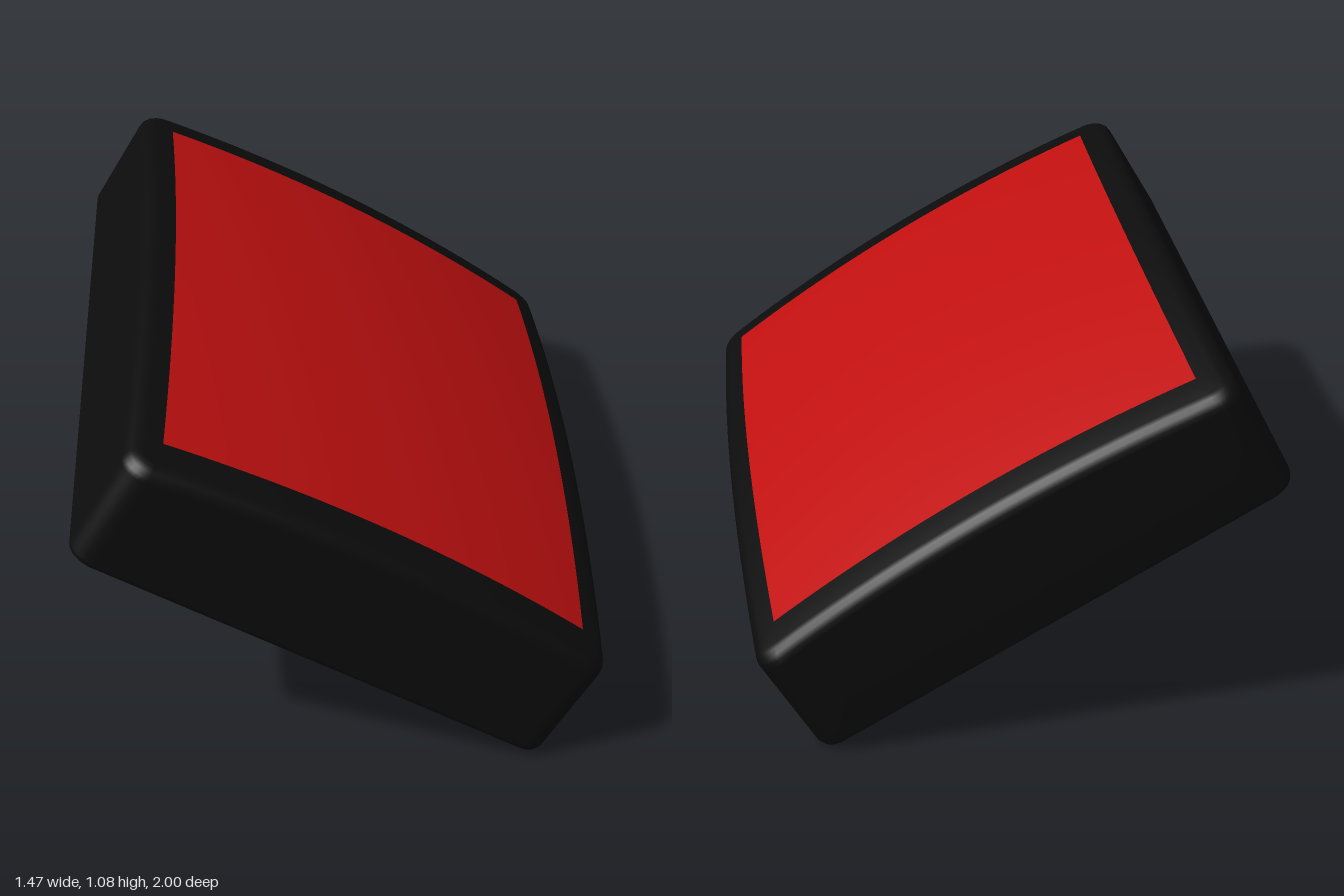
import * as THREE from 'three';

const HALF_W = 0.745, HALF_D = 0.993, CORNER = 0.075;
const EDGE_H = 0.405, CROWN = 0.052;

// Height of the crowned top face at a local point
const crown = (x, z) =>
  EDGE_H + CROWN * (1 - (x / HALF_W) ** 2) - 0.055 * (z / HALF_D) ** 2;

// Rounded rectangle outline, inset from the full footprint
function outline(inset) {
  const points = [];
  const r = CORNER - inset, cx = HALF_W - CORNER, cz = HALF_D - CORNER;
  const signs = [[1, 1], [-1, 1], [-1, -1], [1, -1]];
  signs.forEach(([sx, sz], k) => {
    for (let i = 0; i <= 8; i++) {
      const a = (k + i / 8) * Math.PI / 2;
      points.push([sx * cx + r * Math.cos(a), sz * cz + r * Math.sin(a)]);
    }
    // Straight side, subdivided so that its top edge can follow the crown
    const [ex, ez] = points[points.length - 1];
    const [nx, nz] = signs[(k + 1) % 4];
    const a = (k + 1) * Math.PI / 2;
    const tx = nx * cx + r * Math.cos(a), tz = nz * cz + r * Math.sin(a);
    for (let i = 1; i < 20; i++) {
      points.push([ex + (tx - ex) * i / 20, ez + (tz - ez) * i / 20]);
    }
  });
  return points;
}

// Stack of rings: flat base, softened edges, walls and crowned top
function bodyGeometry() {
  const rings = [];
  const addRing = (inset, scale, height) => rings.push(
    outline(inset).map(([x, z]) => [x * scale, height(x * scale, z * scale), z * scale]));

  addRing(0.025, 0, () => 0);
  addRing(0.025, 1, () => 0);
  addRing(0.007, 1, () => 0.007);
  addRing(0, 1, () => 0.025);
  for (let i = 0; i <= 4; i++) {
    const a = i / 4 * Math.PI / 2, r = 0.04;
    addRing(r * (1 - Math.cos(a)), 1, (x, z) => crown(x, z) - r * (1 - Math.sin(a)));
  }
  for (let i = 15; i >= 0; i--) addRing(0.04, i / 16, crown);

  const n = rings[0].length, index = [];
  for (let j = 0; j < rings.length - 1; j++) {
    for (let i = 0; i < n; i++) {
      const a = j * n + i, b = j * n + (i + 1) % n;
      index.push(a, a + n, b, b, a + n, b + n);
    }
  }
  const geometry = new THREE.BufferGeometry();
  geometry.setAttribute('position', new THREE.Float32BufferAttribute(rings.flat(2), 3));
  geometry.setIndex(index);
  geometry.computeVertexNormals();
  return geometry;
}

// Thin coloured panel that follows the crown
function panelGeometry() {
  const geometry = new THREE.PlaneGeometry(1.31, 1.745, 24, 32).rotateX(-Math.PI / 2);
  const p = geometry.attributes.position;
  for (let i = 0; i < p.count; i++) p.setY(i, crown(p.getX(i), p.getZ(i)) + 0.003);
  geometry.computeVertexNormals();
  return geometry;
}

export function createModel() {
  const model = new THREE.Group();
  model.name = 'tiltedPad';

  const pad = new THREE.Group();
  pad.name = 'pad';
  const body = new THREE.Mesh(bodyGeometry(), new THREE.MeshStandardMaterial({ color: 0x0c0c0c }));
  body.name = 'body';
  const panel = new THREE.Mesh(panelGeometry(), new THREE.MeshStandardMaterial({ color: 0xc01010 }));
  panel.name = 'topPanel';
  pad.add(body, panel);

  // Slopes down towards +x, with a very slight turn in its own plane
  pad.rotation.set(0, -0.008, THREE.MathUtils.degToRad(-30.2), 'ZYX');
  pad.position.set(-0.095, 0.38, 0);
  model.add(pad);
  return model;
}
